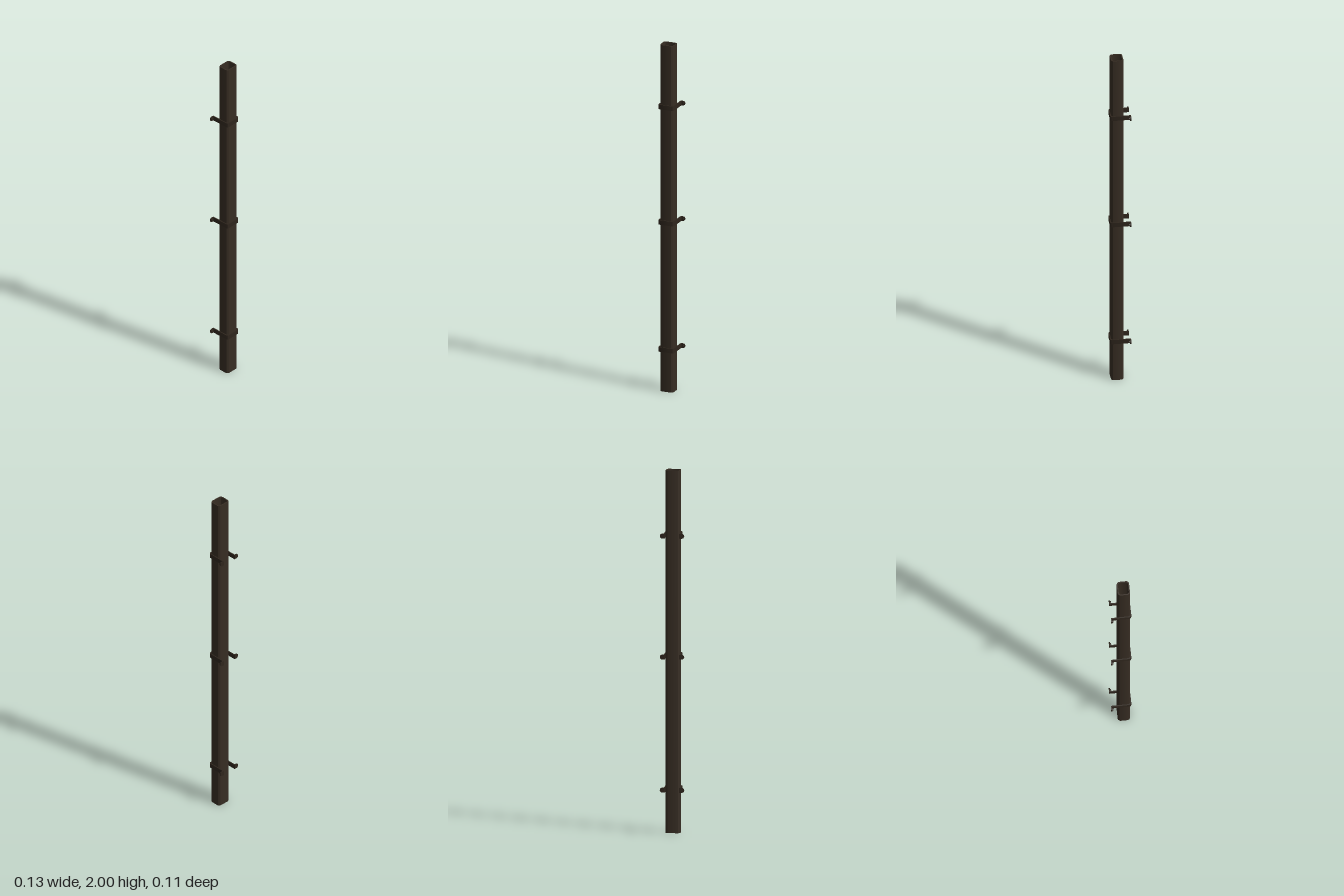
import * as THREE from 'three';
import { toCreasedNormals } from 'three/addons/utils/BufferGeometryUtils.js';

const pipeMat = new THREE.MeshStandardMaterial({ color: 0x372d23 });
pipeMat.name = 'dark brown';
const strapMat = new THREE.MeshStandardMaterial({ color: 0x2f261d });
strapMat.name = 'deep brown';

// Rounded rectangle outline, centred on (cx, cy)
function roundedRect(path, cx, cy, hw, hh, r) {
  path.absarc(cx + hw - r, cy + hh - r, r, 0, Math.PI / 2);
  path.absarc(cx - hw + r, cy + hh - r, r, Math.PI / 2, Math.PI);
  path.absarc(cx - hw + r, cy - hh + r, r, Math.PI, Math.PI * 1.5);
  path.absarc(cx + hw - r, cy - hh + r, r, Math.PI * 1.5, Math.PI * 2);
  path.closePath();
  return path;
}

function extrude(shape, depth) {
  const geo = new THREE.ExtrudeGeometry(shape, { depth, bevelEnabled: false, curveSegments: 6 });
  return toCreasedNormals(geo, 0.6);
}

// Plan outlines use -z as their second axis and are raised along y
const extrudeUp = (shape, height) => extrude(shape, height).rotateX(-Math.PI / 2);

function addMesh(parent, name, geo, mat) {
  const mesh = new THREE.Mesh(geo, mat);
  mesh.name = name;
  parent.add(mesh);
  return mesh;
}

// U-shaped strap around the pipe front with two wall tabs and screws
function createBracket() {
  const bracket = new THREE.Group();
  bracket.name = 'bracket';
  const h = 0.026, xo = 0.046, xi = 0.04, front = -0.055, inner = -0.049, back = 0.058;

  const u = new THREE.Shape();
  u.moveTo(-xo, back);
  u.lineTo(-xo, front + 0.013);
  u.absarc(-xo + 0.013, front + 0.013, 0.013, Math.PI, Math.PI * 1.5);
  u.absarc(xo - 0.013, front + 0.013, 0.013, Math.PI * 1.5, Math.PI * 2);
  u.lineTo(xo, back);
  u.lineTo(xi, back);
  u.lineTo(xi, inner + 0.013);
  u.absarc(xi - 0.013, inner + 0.013, 0.013, 0, -Math.PI / 2, true);
  u.absarc(-xi + 0.013, inner + 0.013, 0.013, -Math.PI / 2, -Math.PI, true);
  u.lineTo(-xi, back);
  u.closePath();
  addMesh(bracket, 'strap', extrudeUp(u, h).translate(0, -h / 2, 0), strapMat);

  for (const side of [1, -1]) {
    // Wall tab with a rounded outer end
    const r = h / 2, end = 0.067 - r;
    const tab = new THREE.Shape();
    tab.moveTo(xi + 0.001, -r);
    tab.lineTo(end, -r);
    tab.absarc(end, 0, r, -Math.PI / 2, Math.PI / 2);
    tab.lineTo(xi + 0.001, r);
    tab.closePath();
    const tabGeo = extrude(tab, 0.0065);
    if (side < 0) tabGeo.rotateZ(Math.PI);
    addMesh(bracket, 'wallTab', tabGeo.translate(0, 0, -0.0585), strapMat);

    // Screw head
    const screw = new THREE.CylinderGeometry(0.0065, 0.0065, 0.007, 16).rotateX(Math.PI / 2);
    addMesh(bracket, 'screwHead', screw, strapMat).position.set(side * 0.0565, 0, -0.0495);
  }
  return bracket;
}

export function createModel() {
  const model = new THREE.Group();
  model.name = 'downpipe';

  // Hollow rectangular pipe
  const outline = roundedRect(new THREE.Shape(), 0, -0.015, 0.04, 0.034, 0.016);
  outline.holes.push(roundedRect(new THREE.Path(), 0, -0.015, 0.034, 0.0275, 0.012));
  addMesh(model, 'pipe', extrudeUp(outline, 2), pipeMat);

  // Wall brackets
  for (const y of [0.242, 0.976, 1.643]) {
    const bracket = createBracket();
    bracket.position.y = y;
    model.add(bracket);
  }
  return model;
}
